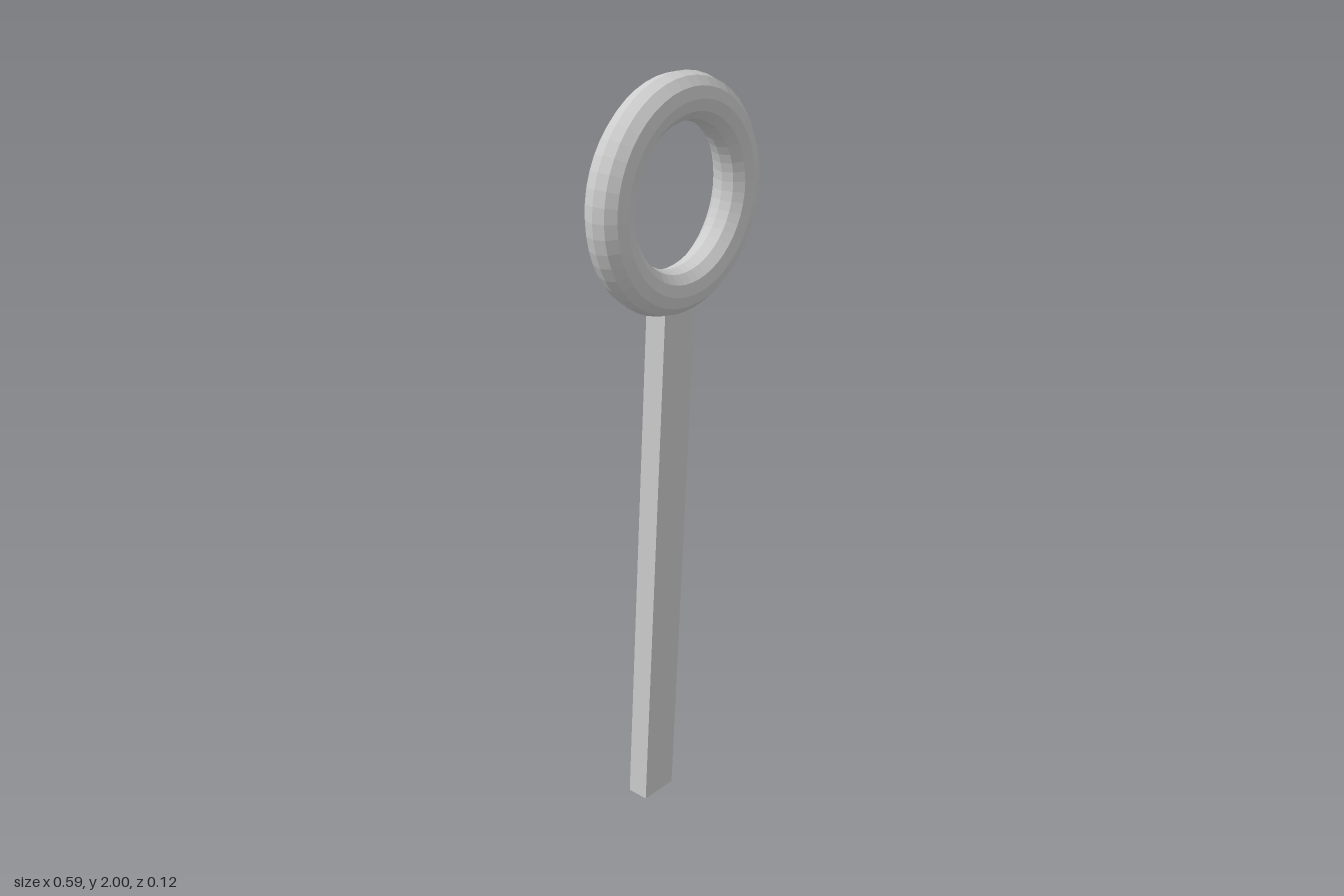
import * as THREE from 'three';

export function createModel() {
  const group = new THREE.Group();
  const material = new THREE.MeshStandardMaterial({ color: 0xcccccc, flatShading: true });

  // Ring handle at the top
  const ring = new THREE.Mesh(new THREE.TorusGeometry(0.235, 0.058, 12, 48), material);
  ring.name = 'ring';
  ring.position.y = 1.707;
  group.add(ring);

  // Flat bar with a slightly domed lower end, its foot at the local origin
  const width = 0.113, depth = 0.06, length = 1.445, dome = 0.013;
  const barGeometry = new THREE.BoxGeometry(width, length, depth, 8, 1, 6);
  barGeometry.translate(0, length / 2, 0);
  const p = barGeometry.attributes.position;
  for (let i = 0; i < p.count; i++) {
    if (p.getY(i) > 0.01) continue;
    const u = p.getX(i) / (width / 2);
    const w = p.getZ(i) / (depth / 2);
    p.setY(i, -dome * (1 - u * u) * (1 - w ** 4));
  }
  barGeometry.computeVertexNormals();

  // The bar leans, so that its top meets the bottom of the ring
  const bar = new THREE.Mesh(barGeometry, material);
  bar.name = 'bar';
  bar.position.set(-0.112, 0.014, 0);
  bar.rotation.z = -Math.atan(0.065);
  group.add(bar);

  return group;
}
